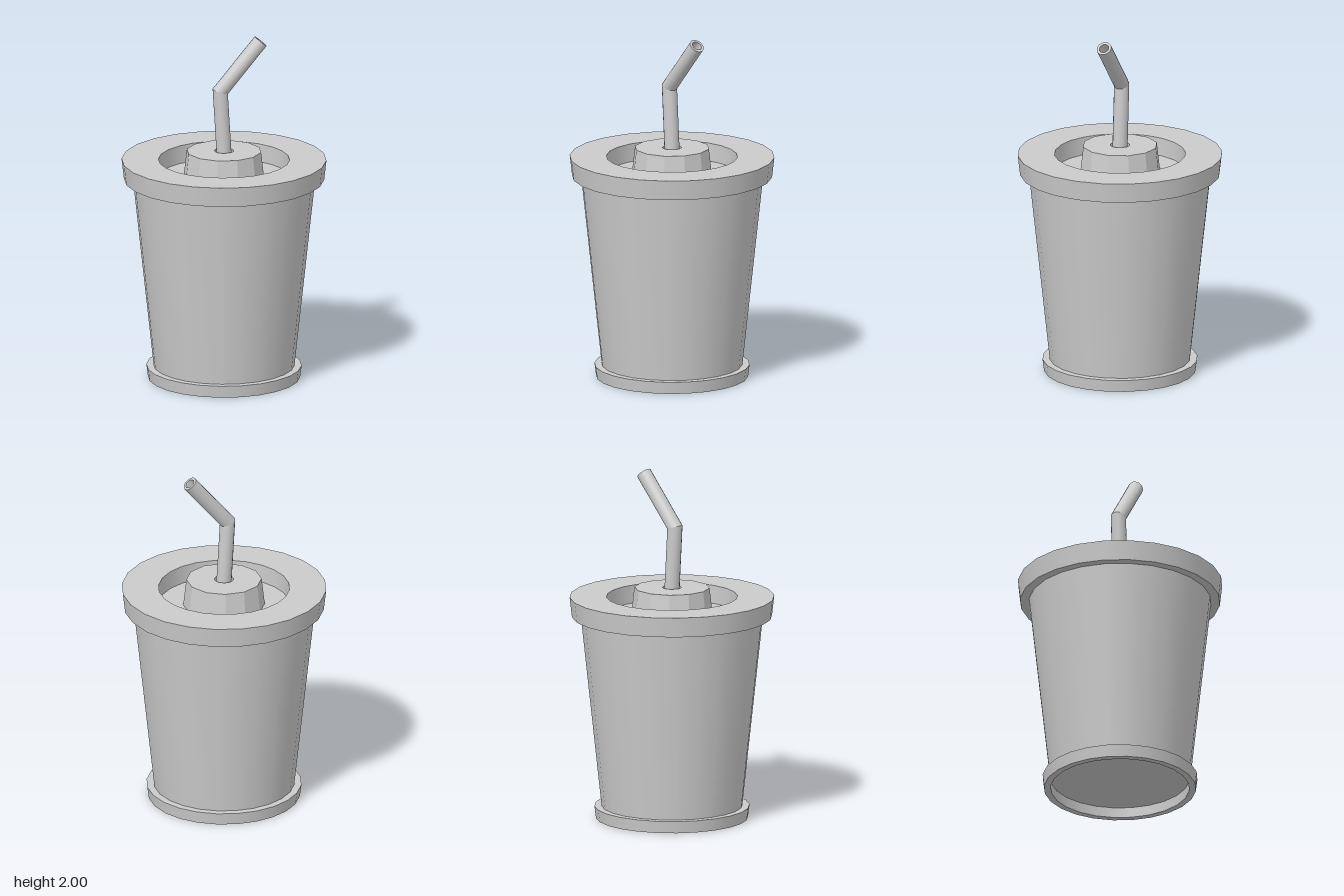
import * as THREE from 'three';
import { mergeGeometries } from 'three/addons/utils/BufferGeometryUtils.js';

const material = new THREE.MeshStandardMaterial({ color: 0xcccccc });
const flatMaterial = new THREE.MeshStandardMaterial({ color: 0xcccccc, flatShading: true });

// Revolves each profile segment on its own, so profile corners stay sharp while the sides stay smooth.
function revolve(name, profile, sides, mat = material, start = 0) {
  const bands = [];
  for (let i = 0; i < profile.length - 1; i++) {
    const pair = [profile[i], profile[i + 1]].map(([r, y]) => new THREE.Vector2(r, y));
    bands.push(new THREE.LatheGeometry(pair, sides, start));
  }
  const mesh = new THREE.Mesh(mergeGeometries(bands), mat);
  mesh.name = name;
  return mesh;
}

// Skins neighbouring rings; each ring has a centre, a half-width vector in the xy plane and a z radius.
function skinRings(name, rings, sides) {
  const bands = [];
  for (let k = 0; k < rings.length - 1; k++) {
    const positions = [], index = [];
    for (const { c, h, r } of [rings[k], rings[k + 1]]) {
      for (let i = 0; i < sides; i++) {
        const a = (i / sides) * Math.PI * 2;
        positions.push(c[0] + h[0] * Math.cos(a), c[1] + h[1] * Math.cos(a), r * Math.sin(a));
      }
    }
    for (let i = 0; i < sides; i++) {
      const j = (i + 1) % sides;
      index.push(i, i + sides, j, j, i + sides, j + sides);
    }
    const band = new THREE.BufferGeometry();
    band.setAttribute('position', new THREE.Float32BufferAttribute(positions, 3));
    band.setIndex(index);
    band.computeVertexNormals();
    bands.push(band);
  }
  const mesh = new THREE.Mesh(mergeGeometries(bands), material);
  mesh.name = name;
  return mesh;
}

export function createModel() {
  const group = new THREE.Group();
  group.name = 'drinkCup';

  // Tapered cup wall
  group.add(revolve('cupWall', [[0.4, 0.06], [0.52, 1.18]], 24));

  // Foot ring with recessed floor underneath
  group.add(revolve('foot', [
    [0, 0.06], [0.395, 0.06], [0.395, 0], [0.433, 0], [0.442, 0.07], [0.39, 0.07],
  ], 24));

  // Lid with wide rim and sunken centre
  group.add(revolve('lid', [
    [0.5, 1.17], [0.57, 1.17], [0.583, 1.285], [0.373, 1.285], [0.373, 1.18], [0, 1.18],
  ], 24));

  // Raised faceted hub with a straw hole
  group.add(revolve('lidHub', [
    [0.232, 1.18], [0.214, 1.337], [0.055, 1.337], [0.055, 1.2], [0, 1.2],
  ], 12, flatMaterial, THREE.MathUtils.degToRad(7.5)));

  // Hollow bent straw: up the outside, over the lip, down the inside
  const outer = [
    { c: [0.008, 1.19], h: [0.043, 0.003], r: 0.043 },
    { c: [-0.022, 1.69], h: [0.044, -0.015], r: 0.043 },
    { c: [0.214, 1.972], h: [0.033, -0.028], r: 0.043 },
  ];
  const inner = outer.map(({ c, h, r }) => ({ c, h: h.map((v) => v * 0.65), r: r * 0.65 })).reverse();
  group.add(skinRings('straw', [...outer, ...inner], 16));

  return group;
}
